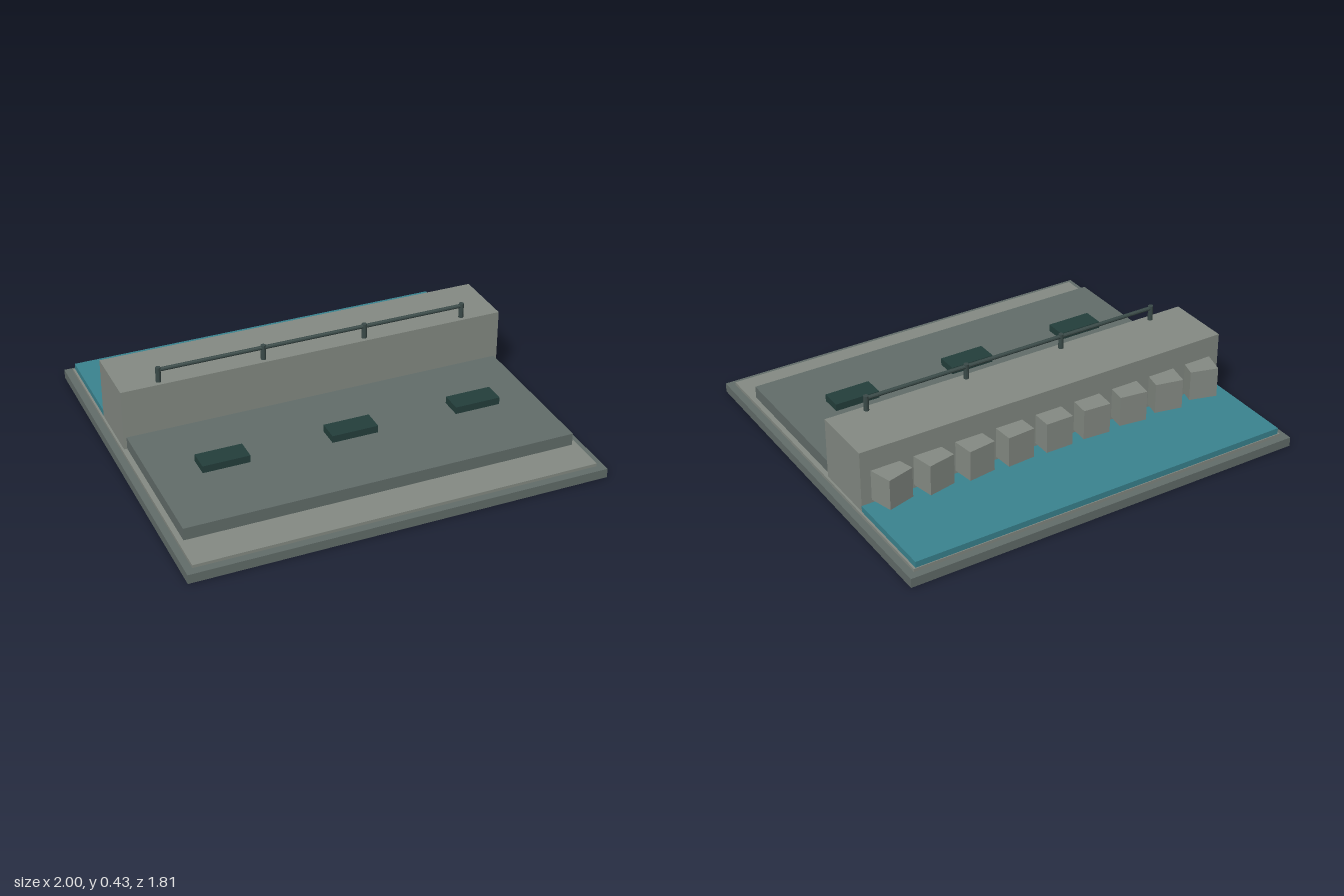
import * as THREE from 'three';

const mat = (color) => new THREE.MeshStandardMaterial({ color, flatShading: true });

export function createModel() {
  const model = new THREE.Group();
  const stone = mat(0x858b84);
  const paving = mat(0x626d6a);
  const water = mat(0x3a8490);
  const bench = mat(0x243f3c);
  const metal = mat(0x3a4a48);

  const add = (name, geometry, material, x, y, z) => {
    const mesh = new THREE.Mesh(geometry, material);
    mesh.name = name;
    mesh.position.set(x, y, z);
    model.add(mesh);
    return mesh;
  };
  // Box given by its ranges in y and z, centred on x
  const slab = (name, material, width, y0, y1, z0, z1, x = 0) =>
    add(name, new THREE.BoxGeometry(width, y1 - y0, z1 - z0), material, x, (y0 + y1) / 2, (z0 + z1) / 2);

  // Stepped ground
  slab('base', paving, 2, 0, 0.045, -0.905, 0.905);
  slab('terrace', stone, 1.93, 0.045, 0.06, -0.87, 0.867);
  slab('promenade', paving, 1.88, 0.06, 0.12, -0.085, 0.688);
  slab('water', water, 1.91, 0.06, 0.09, -0.866, -0.395);

  // Sea wall
  slab('seaWall', stone, 1.91, 0.06, 0.36, -0.4, -0.083);

  // Row of blocks on the water side, fanned outwards
  for (let i = -4; i <= 4; i++) {
    const block = add('breakwaterBlock', new THREE.BoxGeometry(0.137, 0.15, 0.15), stone, i * 0.207, 0.18, -0.42);
    block.rotation.y = i * 0.068;
  }

  // Benches above the promenade
  for (const x of [-0.62, 0, 0.62]) slab('bench', bench, 0.225, 0.145, 0.18, 0.257, 0.362, x);

  // Railing on top of the wall
  for (const x of [-0.765, -0.255, 0.255, 0.765]) {
    add('railPost', new THREE.CylinderGeometry(0.0125, 0.0125, 0.075, 10), metal, x, 0.3965, -0.113);
  }
  const rail = add('handrail', new THREE.CylinderGeometry(0.01, 0.01, 1.53, 10), metal, 0, 0.421, -0.113);
  rail.rotation.z = Math.PI / 2;

  return model;
}
